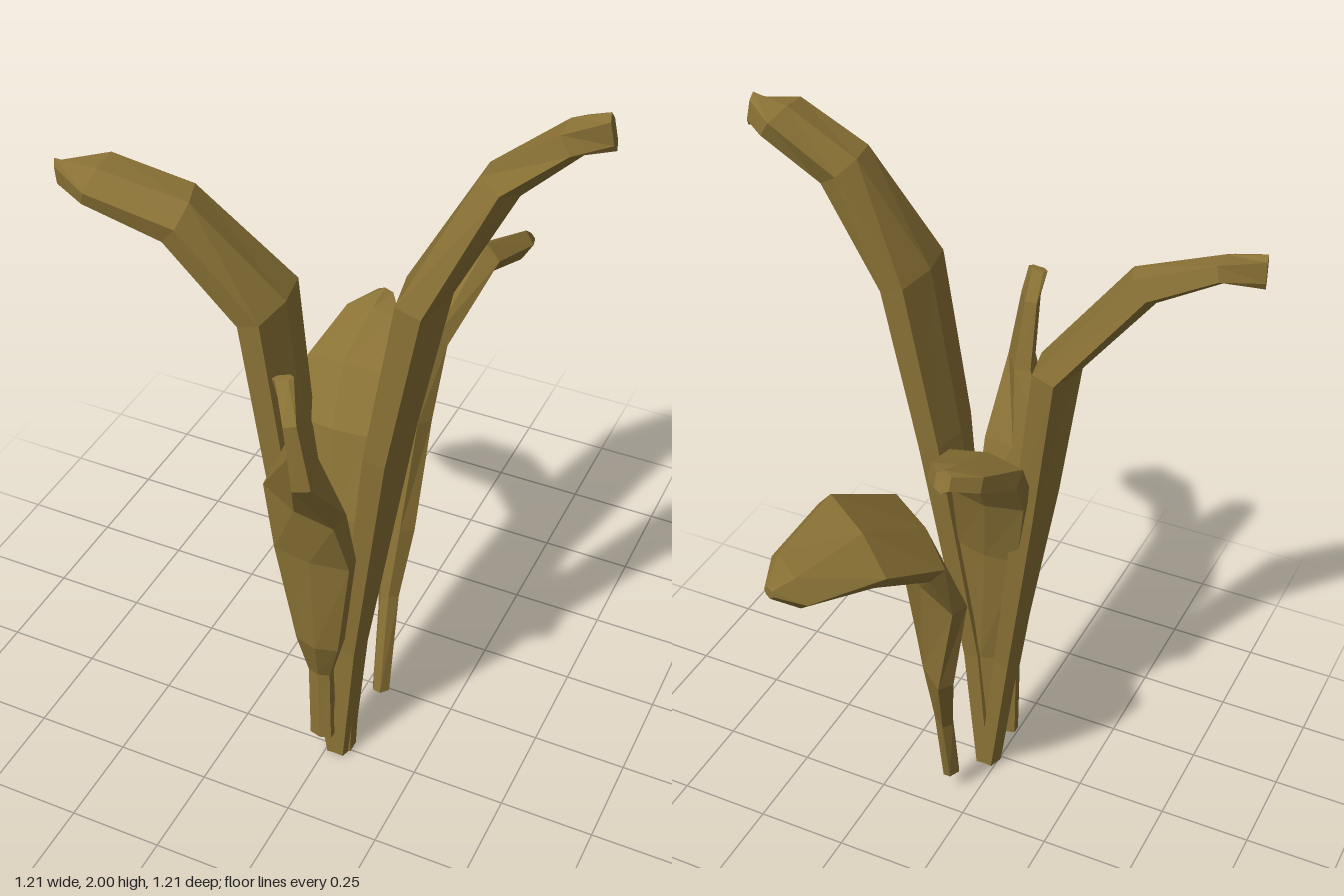
import * as THREE from 'three';

// Six-sided leaf cross-section: blunt edges with a ridge above and below
const SECTION = [[-1, -0.6], [0, -1], [1, -0.6], [1, 0.6], [0, 1], [-1, 0.6]];

// Each row is one cross-section: one edge, the opposite edge, half thickness
const LEAVES = {
  leftTallLeaf: [
    [[0.035, 0, 0.28], [0.035, 0, 0.2], 0.03],
    [[0.07, 0.4, 0.285], [0.07, 0.4, 0.195], 0.035],
    [[0.168, 1.1, 0.335], [0.168, 1.1, 0.145], 0.047],
    [[0.25, 1.55, 0.34], [0.25, 1.55, 0.12], 0.053],
    [[0.385, 1.845, 0.238], [0.403, 1.815, 0.105], 0.048],
    [[0.525, 1.95, 0.19], [0.54, 1.935, 0.06], 0.04],
    [[0.6, 1.957, 0.117], [0.6, 1.957, 0.093], 0.044],
  ],
  rightTallLeaf: [
    [[0.025, 0, 0.28], [0.025, 0, 0.2], 0.03],
    [[-0.02, 0.4, 0.285], [-0.02, 0.4, 0.195], 0.035],
    [[-0.095, 0.95, 0.32], [-0.095, 0.95, 0.15], 0.045],
    [[-0.147, 1.39, 0.33], [-0.147, 1.4, 0.13], 0.05],
    [[-0.32, 1.605, 0.362], [-0.34, 1.645, 0.225], 0.05],
    [[-0.51, 1.675, 0.402], [-0.51, 1.71, 0.27], 0.032],
    [[-0.598, 1.693, 0.365], [-0.602, 1.697, 0.345], 0.042],
  ],
  backLeaf: [
    [[0.085, 0.07, 0.08], [0.055, 0.07, 0.06], 0.025],
    [[0.085, 0.38, 0.025], [0.045, 0.31, 0], 0.025],
    [[0.11, 0.6, 0], [0, 0.55, -0.1], 0.035],
    [[0.13, 0.93, -0.055], [-0.07, 0.88, -0.16], 0.037],
    [[0.135, 1.13, -0.13], [-0.05, 1.04, -0.24], 0.04],
    [[0.18, 1.27, -0.355], [0.01, 1.12, -0.41], 0.045],
    [[0.212, 1.22, -0.53], [0.125, 1.12, -0.56], 0.035],
    [[0.197, 1.18, -0.6], [0.18, 1.16, -0.605], 0.015],
  ],
  middleLeaf: [
    [[0.065, 0, 0.24], [0.005, 0, 0.24], 0.03],
    [[0.085, 0.4, 0.24], [0, 0.4, 0.235], 0.035],
    [[0.1, 0.8, 0.205], [-0.075, 0.8, 0.195], 0.04],
    [[0.09, 1.02, 0.145], [-0.11, 1.02, 0.145], 0.045],
    [[0.08, 1.14, 0.07], [-0.12, 1.14, 0.07], 0.045],
    [[0.055, 1.205, -0.07], [-0.085, 1.205, -0.07], 0.034],
    [[0.01, 1.23, -0.13], [-0.03, 1.23, -0.13], 0.03],
  ],
  frontLeaf: [
    [[0.03, 0.08, 0.29], [-0.03, 0.08, 0.29], 0.02],
    [[0.03, 0.32, 0.29], [-0.03, 0.32, 0.29], 0.022],
    [[0.08, 0.48, 0.335], [-0.035, 0.48, 0.335], 0.035],
    [[0.13, 0.8, 0.37], [-0.07, 0.8, 0.37], 0.032],
    [[0.125, 0.98, 0.425], [-0.08, 1.01, 0.38], 0.04],
    [[0.115, 1.2, 0.595], [0.03, 1.22, 0.41], 0.035],
    [[0.09, 1.37, 0.592], [0.035, 1.39, 0.465], 0.025],
    [[0.05, 1.45, 0.545], [0.045, 1.45, 0.525], 0.025],
  ],
};

// Skin the cross-sections into a closed, bent and twisted leaf
function leafGeometry(rows) {
  const n = SECTION.length;
  const edges = rows.map(([a, b]) => [new THREE.Vector3(...a), new THREE.Vector3(...b)]);
  const centres = edges.map(([a, b]) => a.clone().lerp(b, 0.5));
  const positions = [];
  const index = [];
  rows.forEach((row, i) => {
    const tangent = centres[Math.min(i + 1, rows.length - 1)].clone()
      .sub(centres[Math.max(i - 1, 0)]);
    const u = edges[i][0].clone().sub(centres[i]);
    const v = tangent.cross(u).setLength(row[2]);
    for (const [a, b] of SECTION) {
      const p = centres[i].clone().addScaledVector(u, a).addScaledVector(v, b);
      positions.push(p.x, p.y, p.z);
    }
    if (i === 0) return;
    for (let j = 0; j < n; j++) {
      const a = (i - 1) * n + j;
      const b = (i - 1) * n + (j + 1) % n;
      index.push(a, b, b + n, a, b + n, a + n);
    }
  });
  // End caps
  const last = (rows.length - 1) * n;
  for (let j = 1; j < n - 1; j++) {
    index.push(0, j + 1, j, last, last + j, last + j + 1);
  }
  const indexed = new THREE.BufferGeometry();
  indexed.setAttribute('position', new THREE.Float32BufferAttribute(positions, 3));
  indexed.setIndex(index);
  const geometry = indexed.toNonIndexed();
  geometry.computeVertexNormals();
  return geometry;
}

export function createModel() {
  const group = new THREE.Group();
  group.name = 'leafyPlant';
  const material = new THREE.MeshStandardMaterial({ color: 0x8b7336, flatShading: true });
  for (const [name, rows] of Object.entries(LEAVES)) {
    const mesh = new THREE.Mesh(leafGeometry(rows), material);
    mesh.name = name;
    group.add(mesh);
  }
  return group;
}
